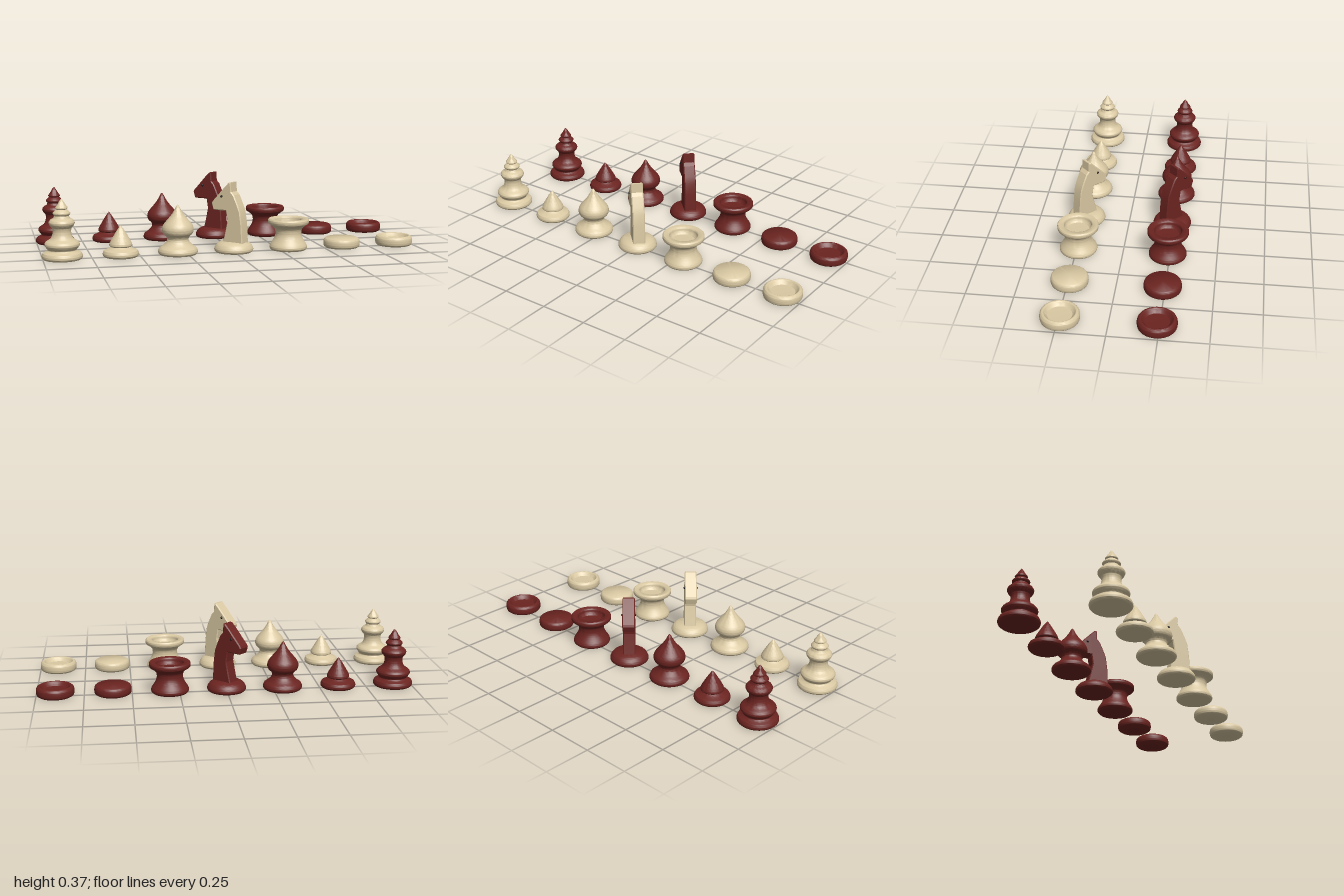
import * as THREE from 'three';
import { toCreasedNormals } from 'three/addons/utils/BufferGeometryUtils.js';

const vectors = (pts) => pts.map(([x, y]) => new THREE.Vector2(x, y));

// Turned solid: curved runs of [radius, height] joined at sharp corners, bottom to top
function turned(...runs) {
  const profile = [new THREE.Vector2(0, 0)];
  for (const run of runs) {
    const pts = run.length > 2
      ? new THREE.SplineCurve(vectors(run)).getPoints(run.length * 4)
      : vectors(run);
    for (const p of pts) {
      p.x = Math.max(0, p.x);
      if (p.distanceTo(profile[profile.length - 1]) > 1e-5) profile.push(p);
    }
  }
  return toCreasedNormals(new THREE.LatheGeometry(profile, 48), 0.6);
}

// Rounded foot shared by the taller pieces
const foot = (r) => [[r - 0.009, 0], [r - 0.001, 0.008], [r, 0.02], [r - 0.006, 0.033]];

const profiles = {
  king: [
    foot(0.104),
    [[0.098, 0.033], [0.078, 0.043], [0.074, 0.05], [0.082, 0.06]],
    [[0.082, 0.06], [0.09, 0.075], [0.083, 0.09], [0.06, 0.106], [0.05, 0.125], [0.047, 0.145], [0.05, 0.162]],
    [[0.05, 0.162], [0.062, 0.176], [0.066, 0.19], [0.058, 0.203], [0.043, 0.212], [0.037, 0.224]],
    [[0.037, 0.224], [0.045, 0.236], [0.036, 0.248], [0.026, 0.256]],
    [[0.026, 0.256], [0.032, 0.264], [0.02, 0.282], [0.008, 0.302], [0, 0.311]],
  ],
  pawn: [
    foot(0.093),
    [[0.087, 0.033], [0.06, 0.045], [0.05, 0.052]],
    [[0.05, 0.052], [0.059, 0.058], [0.057, 0.072], [0.044, 0.096], [0.025, 0.128], [0.009, 0.152], [0, 0.163]],
  ],
  bishop: [
    foot(0.104),
    [[0.098, 0.033], [0.075, 0.05], [0.06, 0.068], [0.056, 0.082], [0.063, 0.097]],
    [[0.063, 0.097], [0.077, 0.11], [0.083, 0.13], [0.077, 0.153], [0.058, 0.178], [0.036, 0.204], [0.018, 0.232], [0.007, 0.253], [0, 0.26]],
  ],
  rook: [
    foot(0.1),
    [[0.094, 0.033], [0.083, 0.05], [0.073, 0.07], [0.069, 0.09], [0.073, 0.112], [0.088, 0.128], [0.104, 0.138]],
    [[0.104, 0.138], [0.109, 0.145], [0.109, 0.16], [0.104, 0.167]],
    [[0.104, 0.167], [0.08, 0.167]],
    [[0.08, 0.167], [0.074, 0.162], [0.07, 0.145], [0.06, 0.132]],
    [[0.06, 0.132], [0, 0.13]],
  ],
  disc: [
    [[0.085, 0], [0.095, 0.008], [0.098, 0.026], [0.094, 0.045], [0.084, 0.053]],
    [[0.084, 0.053], [0, 0.055]],
  ],
  ring: [
    [[0.087, 0], [0.097, 0.008], [0.1, 0.026], [0.097, 0.045], [0.087, 0.054]],
    [[0.087, 0.054], [0.08, 0.053], [0.073, 0.044], [0.062, 0.033]],
    [[0.062, 0.033], [0, 0.031]],
  ],
  knightBase: [
    foot(0.103),
    [[0.097, 0.033], [0.087, 0.045], [0.07, 0.054]],
    [[0.07, 0.054], [0, 0.056]],
  ],
};

const THICK = 0.066;

// Chamfered head and neck, facing local +x
function horseGeometry() {
  const outline = [
    [0.05, 0.045], [0.034, 0.11], [0.022, 0.165], [0.031, 0.219], [0.108, 0.219],
    [0.119, 0.252], [0.114, 0.264], [0.043, 0.34], [0.014, 0.369], [0.001, 0.369],
    [-0.002, 0.32], [-0.018, 0.304], [-0.043, 0.25], [-0.056, 0.215], [-0.065, 0.15], [-0.071, 0.045],
  ];
  const bevel = 0.005;
  const geo = new THREE.ExtrudeGeometry(new THREE.Shape(vectors(outline)), {
    depth: THICK - 2 * bevel, bevelEnabled: true, bevelSegments: 1,
    bevelSize: bevel, bevelThickness: bevel, bevelOffset: -bevel,
  });
  geo.translate(0, 0, bevel - THICK / 2);
  return toCreasedNormals(geo, 0.3);
}

export function createModel() {
  const model = new THREE.Group();
  const names = ['king', 'pawn', 'bishop', 'knight', 'rook', 'disc', 'ring'];
  const geos = {};
  for (const key in profiles) geos[key] = turned(...profiles[key]);
  const horse = horseGeometry();
  const eyeGeo = new THREE.SphereGeometry(0.0065, 16, 12);
  const eyeMat = new THREE.MeshStandardMaterial({ color: 0x151515 });

  const add = (parent, geo, mat, name, x = 0, y = 0, z = 0) => {
    const mesh = new THREE.Mesh(geo, mat);
    mesh.name = name;
    mesh.position.set(x, y, z);
    parent.add(mesh);
  };

  // One row of seven pieces per side
  for (const [side, color, z] of [['light', 0xd9c8a2, 0.239], ['dark', 0x6b2420, -0.239]]) {
    const mat = new THREE.MeshStandardMaterial({ color });
    const row = new THREE.Group();
    row.name = side + 'Pieces';
    row.position.z = z;
    model.add(row);

    names.forEach((name, i) => {
      const x = -0.9 + 0.3 * i;
      if (name !== 'knight') {
        add(row, geos[name], mat, name, x);
        return;
      }
      // Knight: turned base, carved head and a pair of eyes, turned to the back right
      const knight = new THREE.Group();
      knight.name = name;
      knight.position.x = x;
      knight.rotation.y = 0.75 * Math.PI;
      add(knight, geos.knightBase, mat, 'knightBase');
      add(knight, horse, mat, 'horseHead');
      for (const s of [-1, 1]) add(knight, eyeGeo, eyeMat, 'eye', 0.056, 0.294, s * THICK / 2);
      row.add(knight);
    });
  }
  return model;
}
